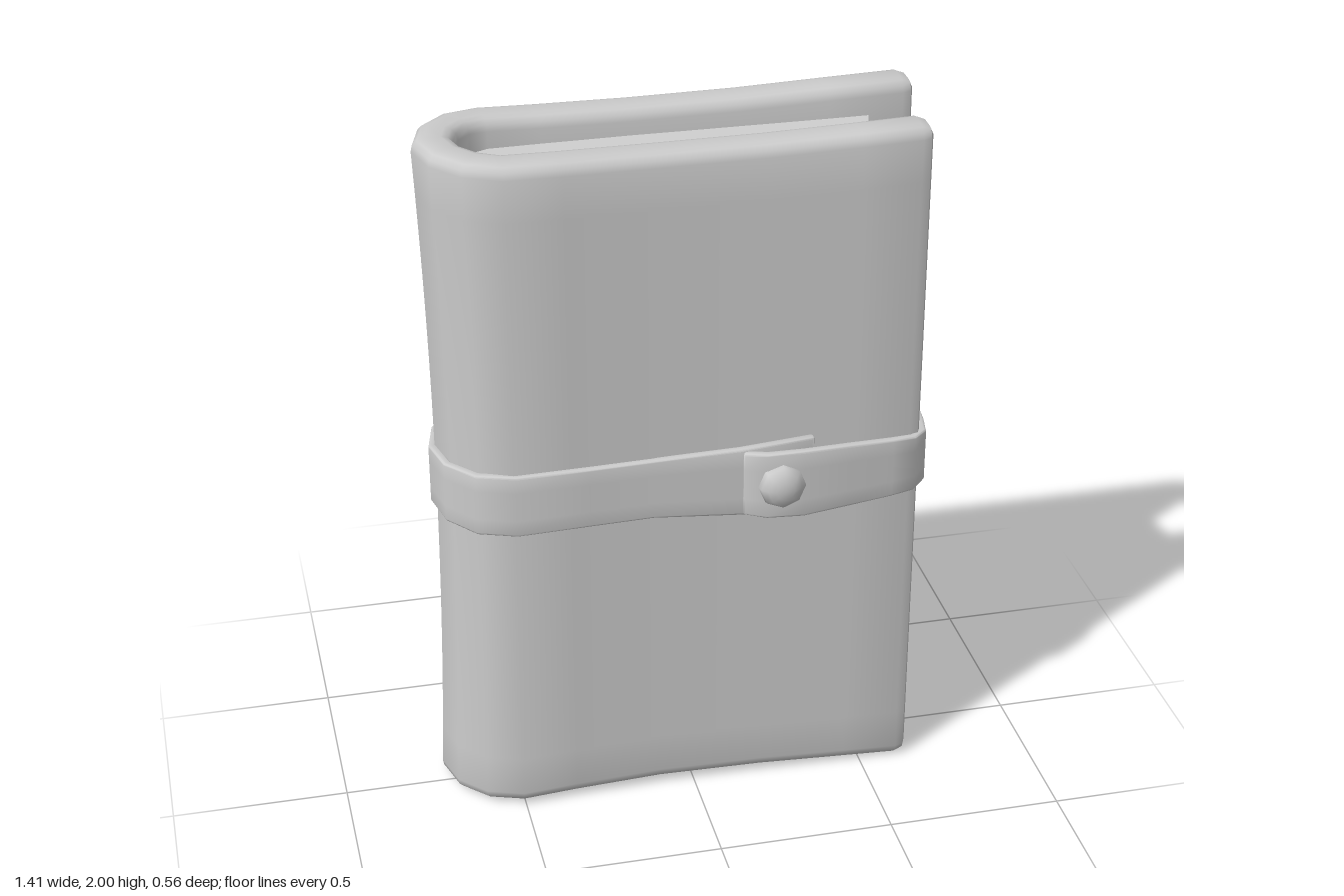
import * as THREE from 'three';
import { mergeVertices, toCreasedNormals } from 'three/addons/utils/BufferGeometryUtils.js';

const material = new THREE.MeshStandardMaterial({ color: 0xcccccc });
const clamp01 = (v) => Math.min(1, Math.max(0, v));

// Rounded upright slab section as [outward offset, y] pairs, going up the outer side
function slabSection(halfT, halfH, r, rows) {
  const points = [];
  const corner = (sn, sy, start) => {
    for (let k = 0; k <= 3; k++) {
      const a = start + (k / 3) * Math.PI / 2;
      points.push([sn * (halfT - r) + r * Math.cos(a), sy * (halfH - r) + r * Math.sin(a)]);
    }
  };
  const side = (s, dir) => {
    for (let k = 1; k < rows; k++) points.push([s * halfT, dir * (halfH - r) * (2 * k / rows - 1)]);
  };
  side(1, 1);
  corner(1, 1, 0);
  corner(-1, 1, Math.PI / 2);
  side(-1, -1);
  corner(-1, -1, Math.PI);
  corner(1, -1, Math.PI * 1.5);
  return points;
}

// Sweeps the slab along stations [x, z, halfHeight]; the ends are rounded off
function sweepSlab(stations, { thickness, radius, rows, centerY, warp }) {
  const last = stations.length - 1;
  const frames = stations.map(([x, z, halfH], i) => {
    const a = stations[Math.max(0, i - 1)], b = stations[Math.min(last, i + 1)];
    const t = new THREE.Vector2(b[0] - a[0], b[1] - a[1]).normalize();
    return { x, z, halfH, t, inset: 0 };
  });
  const endFrames = (f, dir) => [0, 0.5, 1].map((k) => {
    const a = k * Math.PI / 2, back = radius * (1 - Math.cos(a));
    const d = dir * (radius - back - radius * Math.cos(a) + radius * (Math.sin(a) - 1));
    return { ...f, x: f.x + f.t.x * d, z: f.z + f.t.y * d, inset: radius * 0.95 * (1 - Math.cos(a)) };
  });
  const all = [...endFrames(frames[0], -1).reverse(), ...frames.slice(1, last), ...endFrames(frames[last], 1)];

  const positions = [], index = [];
  let n = 0;
  for (const f of all) {
    const ring = slabSection(thickness / 2 - f.inset, f.halfH - f.inset, radius - f.inset, rows);
    n = ring.length;
    for (const [o, y] of ring) {
      const p = new THREE.Vector3(f.x - f.t.y * o, centerY + y, f.z + f.t.x * o);
      if (warp) warp(p);
      positions.push(p.x, p.y, p.z);
    }
  }
  for (let i = 0; i < all.length - 1; i++) {
    for (let j = 0; j < n; j++) {
      const a = i * n + j, b = i * n + (j + 1) % n;
      index.push(a, a + n, b + n, a, b + n, b);
    }
  }
  // End caps: strips joining the outer side to the inner side
  const base = (all.length - 1) * n;
  const half = n / 2;
  const shift = rows + 2; // ring points before the middle of the top edge
  for (let k = 0; k < half - 1; k++) {
    const at = (q) => (shift + q + 2 * n) % n;
    const a = at(k + 1), b = at(k + 2), c = at(-k), d = at(-k - 1);
    index.push(d, c, a, d, a, b);
    index.push(base + d, base + a, base + c, base + d, base + b, base + a);
  }
  const g = new THREE.BufferGeometry();
  g.setAttribute('position', new THREE.Float32BufferAttribute(positions, 3));
  g.setIndex(index);
  return toCreasedNormals(mergeVertices(g), 0.75);
}

// Strap pressure: draws in the spine and the free edge of the back cover
function pinch(p) {
  const bow = 1 - (p.y - 1) ** 2;
  p.x += 0.025 * bow * clamp01((-0.5 - p.x) / 0.2);
  if (p.z < -0.05) p.z += 0.035 * Math.exp(-(((p.y - 1) / 0.4) ** 2)) * clamp01((p.x - 0.1) / 0.55);
}

function addMesh(group, name, geometry) {
  const mesh = new THREE.Mesh(geometry, material);
  mesh.name = name;
  group.add(mesh);
  return mesh;
}

export function createModel() {
  const group = new THREE.Group();
  group.name = 'strappedNotebook';

  // Cover: one thick sheet folded around the spine, slightly lower mid-width
  const coverPath = [
    [0.69, -0.215], [0.45, -0.217], [0.2, -0.22], [-0.1, -0.222], [-0.35, -0.219], [-0.5, -0.215],
    [-0.575, -0.19], [-0.63, -0.13], [-0.653, -0.05], [-0.63, 0.03], [-0.575, 0.09],
    [-0.5, 0.12], [-0.35, 0.113], [-0.1, 0.104], [0.2, 0.109], [0.45, 0.116], [0.645, 0.12],
  ].map(([x, z]) => [x, z, 1 - 0.018 * clamp01(1 - ((x + 0.05) / 0.62) ** 2)]);
  addMesh(group, 'cover', sweepSlab(coverPath, {
    thickness: 0.117, radius: 0.035, rows: 16, centerY: 1, warp: pinch,
  }));

  // Page block: hollow fore-edge, rounded spine side, dipped top and bottom
  const pages = new THREE.BoxGeometry(1.15, 1.82, 0.22, 12, 8, 8);
  const pos = pages.attributes.position;
  for (let i = 0; i < pos.count; i++) {
    let x = pos.getX(i), y = pos.getY(i), z = pos.getZ(i);
    const v = z / 0.11, u = x / 1.15 + 0.5;
    x += -0.015 - 0.018 * (1 - v * v) * u + 0.07 * v ** 4 * (1 - u);
    y -= Math.sign(y) * 0.022 * (1 - Math.abs(v)) * Math.abs(y) / 0.91;
    z += -0.053 - 0.012 * clamp01(1 - (x / 0.6) ** 2);
    pos.setXYZ(i, x, y + 1, z);
  }
  pages.deleteAttribute('normal');
  pages.deleteAttribute('uv');
  addMesh(group, 'pages', toCreasedNormals(mergeVertices(pages), 0.6));

  // Straps: the long one rounds the spine, the flap rounds the open side over it
  const strapShape = { thickness: 0.024, radius: 0.006, rows: 4, centerY: 1.005 };
  addMesh(group, 'spineStrap', sweepSlab([
    [-0.56, -0.258, 0.075], [-0.61, -0.24, 0.08], [-0.668, -0.16, 0.085], [-0.692, -0.05, 0.088],
    [-0.668, 0.06, 0.09], [-0.6, 0.145, 0.092], [-0.5, 0.181, 0.092], [-0.3, 0.175, 0.09],
    [-0.12, 0.168, 0.09], [0.12, 0.183, 0.103], [0.33, 0.182, 0.117],
  ], strapShape));
  addMesh(group, 'flapStrap', sweepSlab([
    [0.13, 0.195, 0.096], [0.19, 0.222, 0.1], [0.29, 0.229, 0.102], [0.42, 0.214, 0.096],
    [0.55, 0.199, 0.089], [0.615, 0.187, 0.085], [0.652, 0.15, 0.08], [0.67, 0.07, 0.072],
    [0.685, -0.05, 0.067], [0.692, -0.16, 0.066], [0.692, -0.22, 0.066], [0.665, -0.262, 0.066],
    [0.6, -0.262, 0.066], [0.49, -0.27, 0.064],
  ], strapShape));

  // Snap button
  const dome = new THREE.SphereGeometry(0.068, 8, 4, 0, Math.PI * 2, 0, Math.PI / 2);
  const button = addMesh(group, 'button', dome.rotateX(Math.PI / 2).scale(1, 1, 0.65));
  button.position.set(0.23, 1.005, 0.23);

  return group;
}
